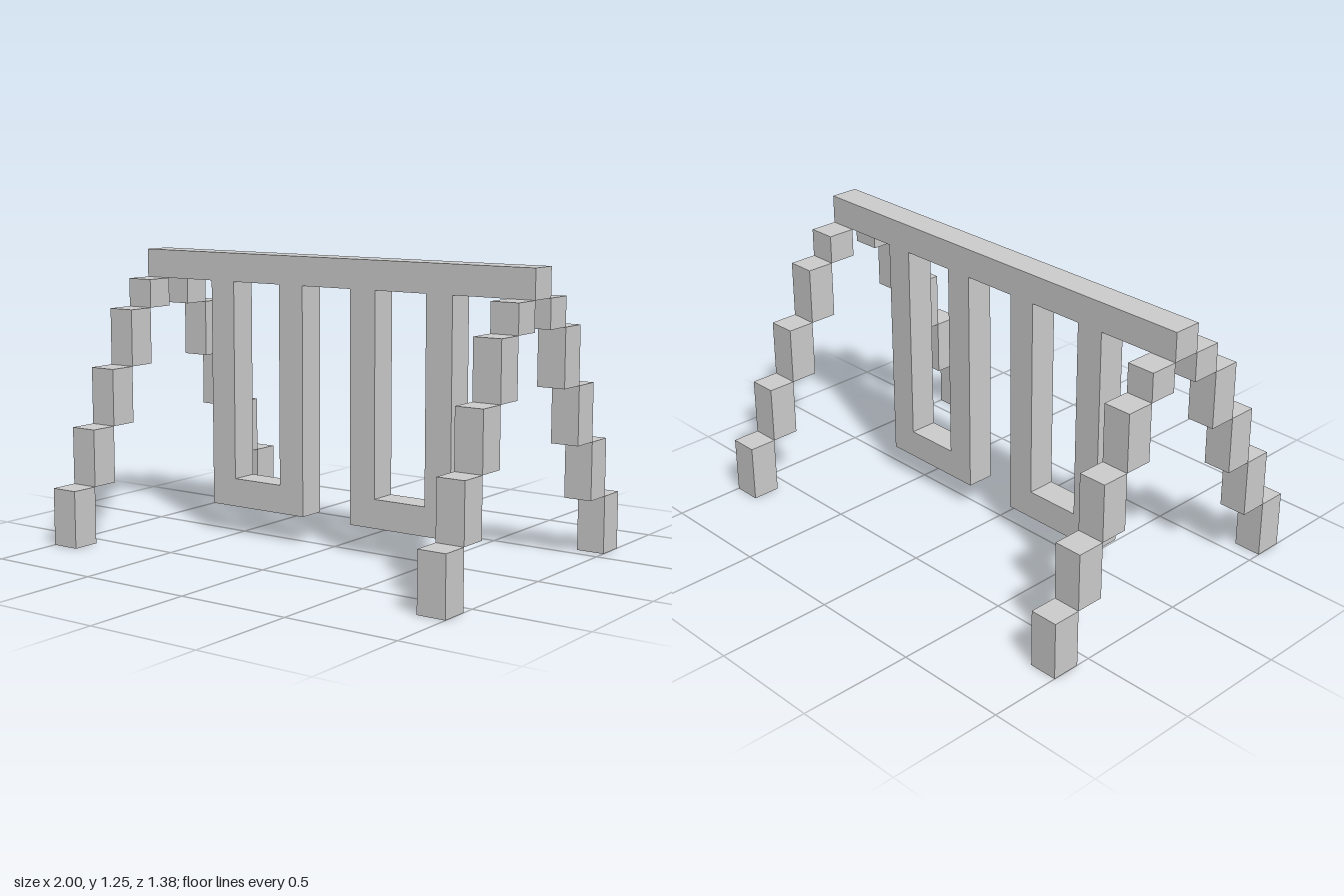
import * as THREE from 'three';

const U = 0.125; // thickness of every bar
const material = new THREE.MeshStandardMaterial({ color: 0xcccccc, flatShading: true });

function addBox(parent, name, w, h, d, x, bottom, z) {
  const mesh = new THREE.Mesh(new THREE.BoxGeometry(w, h, d), material);
  mesh.name = name;
  mesh.position.set(x, bottom + h / 2, z);
  parent.add(mesh);
}

// U-shaped swing: two hangers joined by a seat, in one piece
function createSwing(name, x) {
  const outer = 2 * U, inner = U, bottom = U, top = 9 * U;
  const shape = new THREE.Shape([
    [-outer, bottom], [outer, bottom], [outer, top], [inner, top],
    [inner, bottom + U], [-inner, bottom + U], [-inner, top], [-outer, top],
  ].map(([px, py]) => new THREE.Vector2(px, py)));
  const geometry = new THREE.ExtrudeGeometry(shape, { depth: U, bevelEnabled: false });
  geometry.translate(0, 0, -U / 2);
  const swing = new THREE.Mesh(geometry, material);
  swing.name = name;
  swing.position.x = x;
  return swing;
}

// Stepped leg: a short block under the beam, then four tall blocks to the ground
function createLeg(name, x, side) {
  const leg = new THREE.Group();
  leg.name = name;
  addBox(leg, 'legTopBlock', U, U, U, x, 8 * U, side * U);
  for (let i = 0; i < 4; i++) {
    addBox(leg, 'legBlock', U, 2 * U, U, x, (6 - 2 * i) * U, side * (2 + i) * U);
  }
  return leg;
}

export function createModel() {
  const model = new THREE.Group();
  model.name = 'swingSet';

  addBox(model, 'topBeam', 2, U, U, 0, 9 * U, 0);

  for (const sx of [-1, 1]) {
    const hand = sx > 0 ? 'left' : 'right';
    model.add(createSwing(hand + 'Swing', sx * 3 * U));
    for (const sz of [-1, 1]) {
      model.add(createLeg(hand + (sz > 0 ? 'FrontLeg' : 'BackLeg'), sx * (1 - U / 2), sz));
    }
  }
  return model;
}
